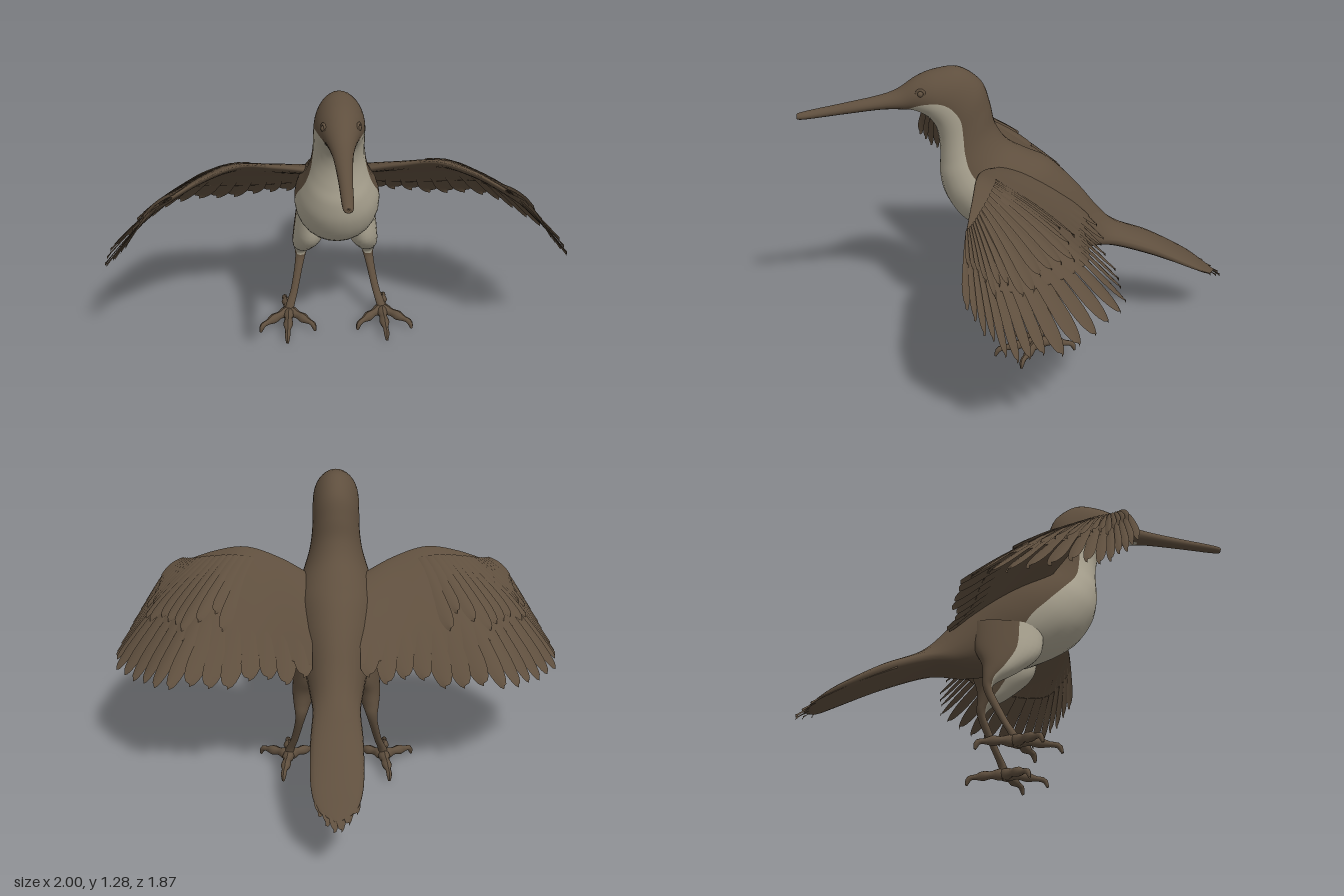
import * as THREE from 'three';
import { mergeGeometries } from 'three/addons/utils/BufferGeometryUtils.js';

const V = (x, y, z) => new THREE.Vector3(x, y, z);
const spline = pts => new THREE.CatmullRomCurve3(pts.map(p => V(...p)), false, 'catmullrom', 0.5);

let seed = 7;
const rand = () => (seed = (seed * 16807) % 2147483647) / 2147483647;

function makeGeometry(pos, idx) {
  const g = new THREE.BufferGeometry();
  g.setAttribute('position', new THREE.Float32BufferAttribute(pos, 3));
  g.setIndex(idx);
  g.computeVertexNormals();
  return g;
}

// Mirrored copy across x = 0, with the winding put right again
function mirror(geo) {
  const g = geo.clone().scale(-1, 1, 1);
  const a = g.index.array;
  for (let i = 0; i < a.length; i += 3) [a[i + 1], a[i + 2]] = [a[i + 2], a[i + 1]];
  return g;
}

// Loft through egg-shaped sections [backZ, backY, bellyZ, bellyY, halfWidth, paleAngle, centreX].
// Rows between sections w0 and w1 are pale (group 1) within paleAngle * PI of the belly line.
function loft(rows, w0, w1, steps = 5) {
  const A = spline(rows.map(r => [r[0], r[1], r[6] || 0]));
  const B = spline(rows.map(r => [r[2], r[3], 0]));
  const C = spline(rows.map(r => [r[4], r[5], 0]));
  const m = 12, N = 30, R = (rows.length - 1) * steps;
  const pos = [], dark = [], pale = [];
  for (let i = 0; i <= R; i++) {
    const t = i / R, a = A.getPoint(t), b = B.getPoint(t), c = C.getPoint(t);
    const alpha = Math.PI * Math.max(c.y, 0.02);
    for (let j = 0; j < N; j++) {
      const ang = j <= m ? alpha * (2 * j / m - 1)
        : alpha + (2 * Math.PI - 2 * alpha) * (j - m) / (N - m);
      const k = (1 - Math.cos(ang)) / 2;
      const x = Math.max(c.x, 0.001) * Math.sin(ang) * (1 + 0.08 * Math.cos(ang));
      pos.push(a.z + x, b.y + (a.y - b.y) * k, b.x + (a.x - b.x) * k);
      if (i === R) continue;
      const p = i * N + j, q = i * N + (j + 1) % N;
      const list = j < m && i >= w0 * steps && i < w1 * steps ? pale : dark;
      list.push(p, p + N, q, q, p + N, q + N);
    }
  }
  const g = makeGeometry(pos, dark.concat(pale));
  g.addGroup(0, dark.length, 0);
  g.addGroup(dark.length, pale.length, 1);
  return g;
}

// Sheet stretched between a base curve and a tip curve, arched in between
function sheet(base, tip, arch, ease) {
  return (s, v) => {
    const u = THREE.MathUtils.clamp(s, 0, 1);
    const p = base.getPoint(Math.pow(u, ease)).lerp(tip.getPoint(u), v);
    p.y += arch * Math.sin(Math.PI * Math.min(v, 1));
    return p;
  };
}

// One feather: a tapering strip lying on a sheet, tilted a little so neighbours overlap
function feather(surf, s, half, v0, v1, lift, narrow) {
  const pos = [], idx = [], rows = 14, cols = 4;
  for (let i = 0; i <= rows; i++) {
    const f = 1 - Math.pow(1 - i / rows, 1.5);
    const round = f < 0.75 ? 1 : Math.sqrt(Math.max(0, 1 - ((f - 0.75) / 0.25) ** 2));
    const w = half * (1 - narrow * f) * round;
    for (let j = 0; j <= cols; j++) {
      const e = 2 * j / cols - 1;
      const p = surf(s + e * w, v0 + (v1 - v0) * f);
      pos.push(p.x, p.y + lift + 0.007 * e + 0.006 * (1 - e * e), p.z);
      if (i < rows && j < cols) {
        const a = i * (cols + 1) + j, b = a + cols + 1;
        idx.push(a, a + 1, b, b, a + 1, b + 1);
      }
    }
  }
  return makeGeometry(pos, idx);
}

// Fleshy part of the wing: rounded at the leading edge, thin at the back
function wingShell(surf) {
  const pos = [], idx = [], S = 36, N = 28;
  for (let i = 0; i <= S; i++) {
    const s = i / S, vmax = 0.88 - 0.38 * s;
    for (let j = 0; j < N; j++) {
      const a = j / N * Math.PI * 2, f = (1 - Math.cos(a)) / 2;
      const p = surf(s, vmax * f);
      p.y += 0.035 * Math.sin(a) * (1 - 0.85 * f) * Math.sqrt(1 - s * 0.9);
      pos.push(p.x, p.y, p.z);
      if (i === S) continue;
      const q = i * N + j, r = i * N + (j + 1) % N;
      idx.push(q, r, q + N, r, r + N, q + N);
    }
  }
  return makeGeometry(pos, idx);
}

// Tapered tube for toes, ending in a hooked claw
function toe(points, r) {
  const curve = spline(points), n = 16, k = 8;
  const g = new THREE.TubeGeometry(curve, n, r, k);
  const p = g.attributes.position, v = V(0, 0, 0);
  for (let i = 0; i < p.count; i++) {
    const t = Math.floor(i / (k + 1)) / n, c = curve.getPointAt(t);
    v.fromBufferAttribute(p, i).sub(c).multiplyScalar((1 - 0.75 * t * t) * (1 + 0.18 * Math.sin(t * 16)));
    p.setXYZ(i, c.x + v.x, c.y + v.y, c.z + v.z);
  }
  g.computeVertexNormals();
  return g;
}

export function createModel() {
  const model = new THREE.Group();
  const brown = new THREE.MeshStandardMaterial({ color: 0x5f4f3e, side: THREE.DoubleSide });
  brown.name = 'brown plumage';
  const cream = new THREE.MeshStandardMaterial({ color: 0xaea794 });
  cream.name = 'pale breast';
  const add = (name, geo, mat = brown) => {
    const mesh = new THREE.Mesh(geo, mat);
    mesh.name = name;
    model.add(mesh);
  };
  const pair = (name, geo, mat) => {
    add('left' + name, geo, mat);
    add('right' + name, mirror(geo), mat);
  };

  // Beak, head, neck, body and tail in one sweep
  add('body', loft([
    [0.935, 1.103, 0.935, 1.1, 0.002, 0.02],
    [0.92, 1.117, 0.92, 1.087, 0.02, 0.02],
    [0.75, 1.145, 0.75, 1.1, 0.027, 0.02],
    [0.6, 1.17, 0.59, 1.112, 0.038, 0.02],
    [0.52, 1.195, 0.5, 1.108, 0.052, 0.16],
    [0.44, 1.245, 0.45, 1.1, 0.072, 0.34],
    [0.36, 1.272, 0.4, 1.07, 0.093, 0.44],
    [0.26, 1.276, 0.37, 1.03, 0.102, 0.46],
    [0.17, 1.21, 0.355, 0.98, 0.104, 0.46],
    [0.135, 1.115, 0.35, 0.93, 0.106, 0.44],
    [0.113, 1.02, 0.35, 0.87, 0.117, 0.43],
    [0.06, 0.94, 0.352, 0.8, 0.14, 0.43],
    [-0.03, 0.885, 0.33, 0.705, 0.17, 0.45],
    [-0.12, 0.84, 0.27, 0.61, 0.182, 0.45],
    [-0.2, 0.765, 0.175, 0.54, 0.174, 0.43],
    [-0.27, 0.685, 0.06, 0.485, 0.152, 0.32],
    [-0.34, 0.595, -0.07, 0.445, 0.13, 0.02],
    [-0.41, 0.525, -0.2, 0.42, 0.112, 0.02],
    [-0.49, 0.48, -0.36, 0.425, 0.1, 0.02],
    [-0.6, 0.43, -0.57, 0.36, 0.108, 0.02],
    [-0.77, 0.325, -0.76, 0.278, 0.104, 0.02],
    [-0.86, 0.255, -0.85, 0.235, 0.074, 0.02],
    [-0.9, 0.225, -0.9, 0.22, 0.01, 0.02],
  ], 3.4, 16), [brown, cream]);

  // Tail feathers
  const tailSheet = sheet(
    spline([[-0.1, 0.41, -0.52], [0, 0.44, -0.52], [0.1, 0.41, -0.52]]),
    spline([[-0.09, 0.25, -0.85], [0, 0.2, -0.935], [0.09, 0.25, -0.85]]), 0.01, 1);
  const tail = [];
  for (let i = 0; i < 6; i++) tail.push(feather(tailSheet, (i + 0.5) / 6, 0.17, 0, 1, -0.005, 0.15));
  add('tailFeathers', mergeGeometries(tail));

  // Wings
  const wing = sheet(
    spline([[0.1, 0.85, 0.12], [0.25, 0.91, 0.2], [0.4, 0.945, 0.25], [0.55, 0.91, 0.29], [0.68, 0.85, 0.33]]),
    spline([[0.1, 0.55, -0.335], [0.3, 0.535, -0.305], [0.52, 0.51, -0.315], [0.73, 0.505, -0.285], [0.88, 0.47, -0.135],
      [0.99, 0.46, 0.06], [0.995, 0.465, 0.2], [0.94, 0.55, 0.3], [0.86, 0.67, 0.375]]), 0.04, 0.7);
  pair('Wing', wingShell(wing));
  const flight = [], coverts = [];
  for (let i = 0; i < 21; i++) {
    const s = (i + 0.5) / 21;
    flight.push(feather(wing, s, 0.032, 0.3, 0.96 + 0.06 * rand(), 0, s > 0.35 ? 0.28 : 0.1));
  }
  for (let i = 0; i < 16; i++) {
    const s = 0.25 + 0.73 * (i + 0.5) / 16;
    coverts.push(feather(wing, s, 0.03, 0.12, 0.54 + 0.16 * rand(), 0.016, 0.2));
  }
  pair('FlightFeathers', mergeGeometries(flight));
  pair('CovertFeathers', mergeGeometries(coverts));

  // Legs, pale at the front of the thigh
  pair('Leg', loft([
    [-0.2, 0.62, 0.1, 0.6, 0.06, 0.42, 0.11],
    [-0.2, 0.5, 0.08, 0.475, 0.068, 0.42, 0.118],
    [-0.17, 0.42, -0.015, 0.388, 0.054, 0.42, 0.138],
    [-0.165, 0.36, -0.1, 0.335, 0.036, 0.38, 0.15],
    [-0.165, 0.31, -0.125, 0.3, 0.025, 0.2, 0.155],
    [-0.145, 0.25, -0.105, 0.245, 0.019, 0.1, 0.165],
    [-0.095, 0.15, -0.06, 0.145, 0.017, 0.1, 0.187],
    [-0.062, 0.08, -0.022, 0.075, 0.02, 0.1, 0.21],
    [-0.06, 0.03, -0.015, 0.03, 0.018, 0.1, 0.214],
  ], 0, 4), [brown, cream]);

  // Feet: three toes forward and one back
  const toes = [[0.097, 0.06], [0.225, 0.155], [0.346, 0.06], [0.235, -0.2]].map(([x, z]) => {
    const at = (f, y) => [0.214 + (x - 0.214) * f, y, -0.04 + (z + 0.04) * f];
    return toe([at(0, 0.052), at(0.35, 0.05), at(0.7, 0.042), at(0.92, 0.035), at(1, 0.004)], 0.023);
  });
  pair('Toes', mergeGeometries(toes));

  // Eyes with a raised rim, set into the head
  const eye = new THREE.SphereGeometry(0.014, 14, 10).translate(0.066, 1.19, 0.43);
  const rim = new THREE.TorusGeometry(0.018, 0.006, 8, 20).rotateY(1.2).translate(0.068, 1.19, 0.43);
  pair('Eye', mergeGeometries([eye, rim]));

  return model;
}
